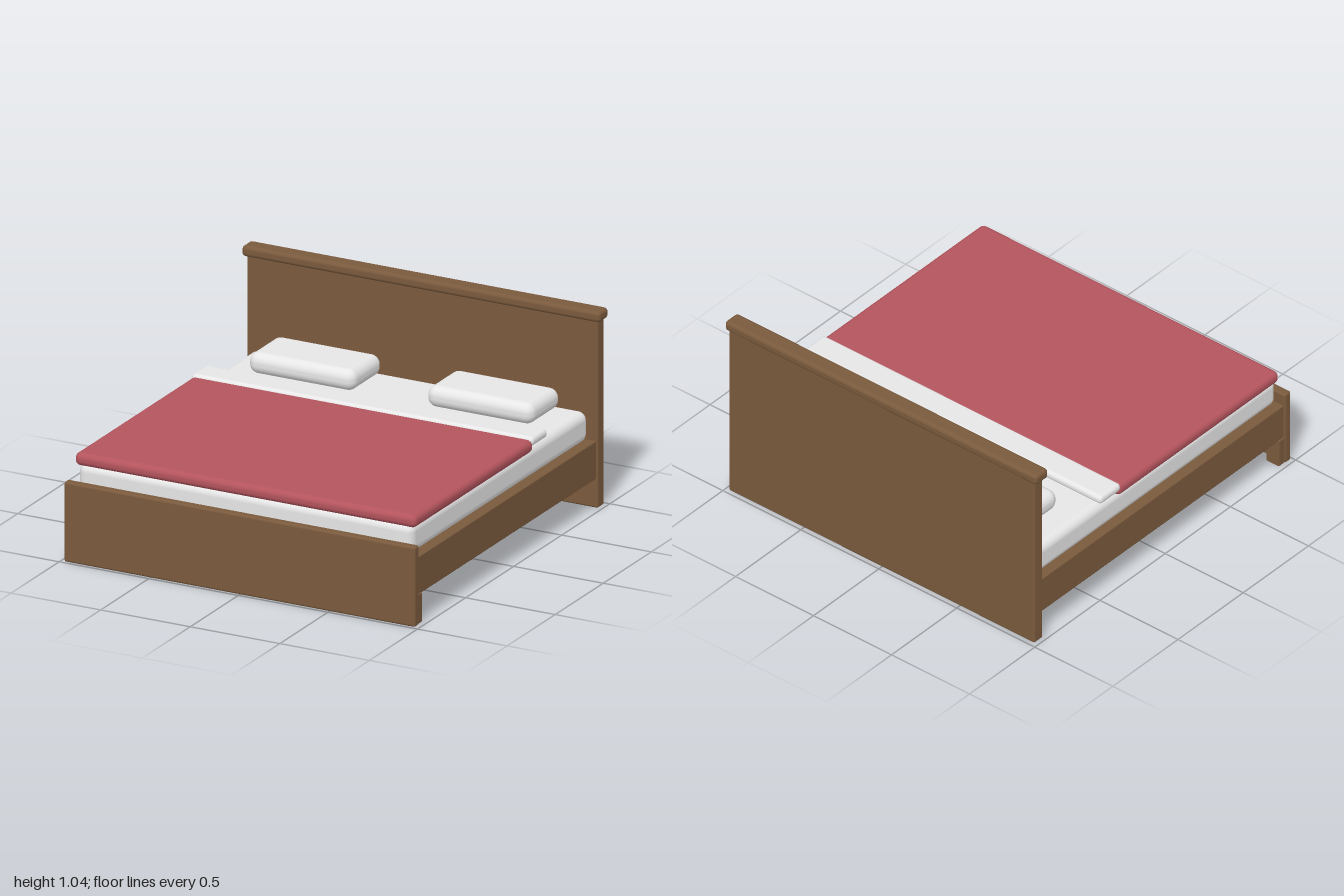
import * as THREE from 'three';
import { RoundedBoxGeometry } from 'three/addons/geometries/RoundedBoxGeometry.js';

const material = (name, color) => {
  const m = new THREE.MeshStandardMaterial({ color });
  m.name = name;
  return m;
};

export function createModel() {
  const bed = new THREE.Group();
  bed.name = 'doubleBed';
  const wood = material('brown wood', 0x7a5a3d);
  const linen = material('white linen', 0xe6e6e6);
  const red = material('red blanket', 0xb4545d);

  // Rounded block given by its extents along each axis
  const block = (name, mat, [x0, x1], [y0, y1], [z0, z1], radius, segments = 4) => {
    const geometry = new RoundedBoxGeometry(x1 - x0, y1 - y0, z1 - z0, segments, radius);
    const mesh = new THREE.Mesh(geometry, mat);
    mesh.name = name;
    mesh.position.set((x0 + x1) / 2, (y0 + y1) / 2, (z0 + z1) / 2);
    bed.add(mesh);
  };

  // Wooden frame
  block('headboard', wood, [-0.98, 0.98], [0, 1.0], [-0.98, -0.912], 0.012);
  block('headboardCap', wood, [-1, 1], [0.98, 1.037], [-0.99, -0.892], 0.02);
  block('footboard', wood, [-0.98, 0.98], [0, 0.42], [0.943, 0.99], 0.012);
  block('bedBase', wood, [-0.97, 0.97], [0.153, 0.352], [-0.93, 0.96], 0.006, 2);

  // Mattress and bedding
  block('mattress', linen, [-0.935, 0.935], [0.35, 0.51], [-0.905, 0.938], 0.045, 6);
  block('blanket', red, [-0.953, 0.953], [0.492, 0.56], [-0.302, 0.937], 0.03, 6);
  block('foldedSheet', linen, [-0.955, 0.955], [0.524, 0.572], [-0.442, -0.28], 0.022, 6);

  // Mirrored feet and pillows
  for (const side of [1, -1]) {
    const span = (a, b) => (side > 0 ? [a, b] : [-b, -a]);
    const prefix = side > 0 ? 'left' : 'right';
    block(prefix + 'Foot', wood, span(0.89, 0.975), [0, 0.16], [0.9, 0.985], 0.01);
    block(prefix + 'Pillow', linen, span(0.2, 0.795), [0.507, 0.618], [-0.88, -0.565], 0.05, 6);
  }
  return bed;
}
